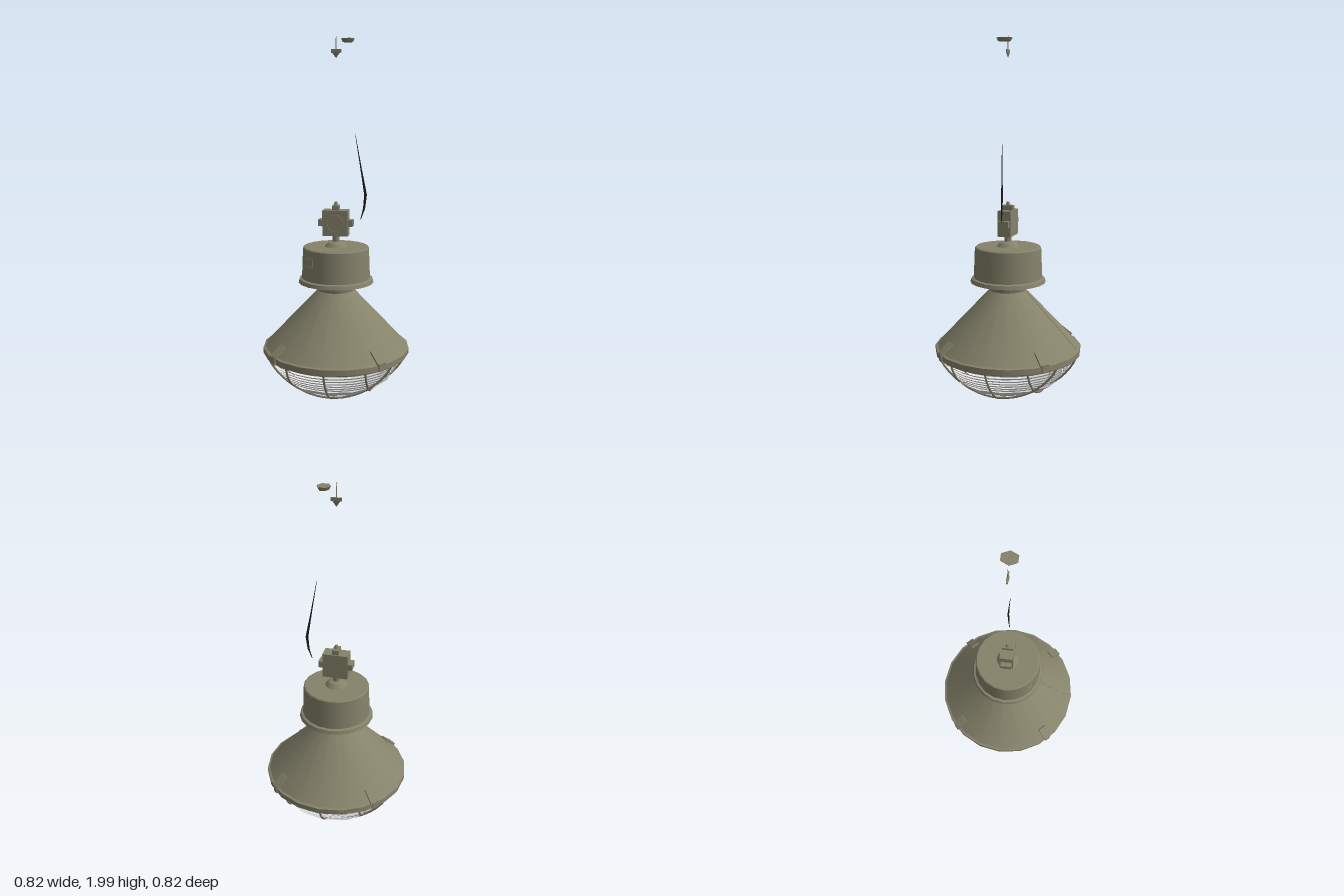
import * as THREE from 'three';

const mat = (name, color, side = THREE.FrontSide) => {
  const m = new THREE.MeshStandardMaterial({ color, side });
  m.name = name;
  return m;
};

export function createModel() {
  const lamp = new THREE.Group();
  lamp.name = 'pendantLamp';
  const olive = mat('olivePaint', 0x86836b);
  const glass = mat('paleGlass', 0xdededf, THREE.DoubleSide);
  const black = mat('blackCable', 0x1c1c1a, THREE.DoubleSide);

  const add = (name, geo, m, x = 0, y = 0, z = 0, parent = lamp) => {
    const mesh = new THREE.Mesh(geo, m);
    mesh.name = name;
    mesh.position.set(x, y, z);
    parent.add(mesh);
    return mesh;
  };
  // Lathe from straight sections, each keeping its own sharp edges
  const turned = (name, pts, m, seg = 20) => {
    const g = new THREE.Group();
    g.name = name;
    for (let i = 0; i < pts.length - 1; i++) {
      const pair = [pts[i], pts[i + 1]].map(p => new THREE.Vector2(...p));
      add(name + 'Section', new THREE.LatheGeometry(pair, seg), m, 0, 0, 0, g);
    }
    lamp.add(g);
  };

  // Shade with its rim band, open underneath
  turned('shade', [[0.37, 0.275], [0.408, 0.275], [0.408, 0.305], [0.395, 0.31], [0.1, 0.625]], olive);
  turned('neck', [[0.1, 0.615], [0.112, 0.69]], olive);
  // Ballast housing with a flange and a small domed cap
  turned('housing', [[0.1, 0.685], [0.175, 0.685], [0.175, 0.67], [0.209, 0.67], [0.203, 0.69],
    [0.19, 0.695], [0.183, 0.862], [0.177, 0.868], [0, 0.868]], olive);
  turned('cap', [[0.062, 0.868], [0.045, 0.888], [0.025, 0.896], [0, 0.896]], olive, 14);

  // Fine raised seams down the shade, front and back
  for (const s of [1, -1]) {
    const seam = add('shadeSeam', new THREE.BoxGeometry(0.002, 0.42, 0.003), olive, 0, 0.468, s * 0.2475);
    seam.rotation.x = -s * Math.atan2(0.295, 0.315);
  }
  // Hatch outline on the housing front
  const hatch = new THREE.Group();
  hatch.name = 'hatchOutline';
  hatch.position.set(-0.12, 0.8, 0.146);
  hatch.rotation.y = -0.69;
  for (const s of [1, -1]) {
    add('hatchEdge', new THREE.BoxGeometry(0.05, 0.002, 0.003), olive, 0, s * 0.023, 0, hatch);
  }
  add('hatchEdge', new THREE.BoxGeometry(0.002, 0.046, 0.003), olive, 0.025, 0, 0, hatch);
  lamp.add(hatch);

  // Junction box with cable glands and round front cover
  add('junctionBox', new THREE.BoxGeometry(0.14, 0.14, 0.074), olive, 0, 1.0, 0);
  add('lowerStem', new THREE.CylinderGeometry(0.02, 0.02, 0.04, 10), olive, 0, 0.915, 0);
  add('topGland', new THREE.BoxGeometry(0.036, 0.026, 0.06), olive, 0, 1.083, 0);
  add('topLug', new THREE.CylinderGeometry(0.008, 0.012, 0.02, 8), olive, 0, 1.105, 0);
  for (const s of [1, -1]) {
    add('sideGland', new THREE.BoxGeometry(0.025, 0.036, 0.06), olive, s * 0.082, 1.0, 0);
  }
  add('coverRing', new THREE.TorusGeometry(0.045, 0.002, 4, 16), olive, 0, 1.0, 0.037);

  // Shade clips
  for (let i = 0; i < 4; i++) {
    const pivot = new THREE.Group();
    pivot.name = 'rimClip';
    pivot.rotation.y = Math.PI / 4 + i * Math.PI / 2;
    add('clipPlate', new THREE.BoxGeometry(0.05, 0.01, 0.085), olive, 0, 0.338, 0.376, pivot).rotation.x = 0.7;
    add('clipHook', new THREE.BoxGeometry(0.03, 0.04, 0.01), olive, 0, 0.292, 0.406, pivot);
    lamp.add(pivot);
  }

  // Ribbed glass and its lens
  for (let i = 0; i < 8; i++) {
    const y = 0.268 - i * 0.017;
    const r = 0.365 - 0.0012 * i * i;
    const rib = new THREE.LatheGeometry(
      [new THREE.Vector2(r - 0.01, y - 0.005), new THREE.Vector2(r, y + 0.005)], 28);
    add('glassRib', rib, glass);
  }
  turned('glassLens', [[0, 0.03], [0.15, 0.06], [0.25, 0.1], [0.31, 0.142]], glass, 14);

  // Wire guard: three wires each way over a bowl
  const bowl = r => 0.28 - 0.265 * Math.pow(Math.max(0, 1 - (r / 0.395) ** 2), 0.75);
  for (const across of [false, true]) {
    for (const off of [-0.21, 0, 0.21]) {
      const half = Math.sqrt(0.395 ** 2 - off ** 2);
      const pts = [];
      for (let i = 0; i <= 12; i++) {
        const t = -half * Math.cos(Math.PI * i / 12);
        const y = bowl(Math.hypot(off, t));
        pts.push(across ? new THREE.Vector3(t, y, off) : new THREE.Vector3(off, y, t));
      }
      add('guardWire', new THREE.TubeGeometry(new THREE.CatmullRomCurve3(pts), 24, 0.006, 5), olive);
    }
  }
  const ring = add('guardRing', new THREE.TorusGeometry(0.4, 0.008, 5, 20), olive, 0, 0.277, 0);
  ring.rotation.x = Math.PI / 2;

  // Loose cable sliver, widest at its bend
  const path = [[0.105, 1.48, 0, 0.001], [0.135, 1.3, -0.01, 0.004], [0.16, 1.155, -0.017, 0.008],
    [0.153, 1.08, -0.014, 0.006], [0.135, 1.02, -0.006, 0.002]];
  const cable = new THREE.CylinderGeometry(1, 1, 1, 5, path.length - 1, true);
  const p = cable.attributes.position;
  for (let i = 0; i < p.count; i++) {
    const [x, y, z, r] = path[Math.round((0.5 - p.getY(i)) * (path.length - 1))];
    p.setXYZ(i, x + p.getX(i) * r, y, z + p.getZ(i) * r * 0.6);
  }
  cable.computeVertexNormals();
  add('cable', cable, black);

  // Ceiling hook and hexagonal plate
  add('hookPin', new THREE.CylinderGeometry(0.001, 0.004, 0.09, 5), olive, 0, 1.955, 0);
  const tip = add('hookTip', new THREE.ConeGeometry(0.024, 0.03, 6), olive, 0, 1.895, 0);
  tip.rotation.x = Math.PI;
  tip.scale.z = 0.3;
  add('hookBar', new THREE.BoxGeometry(0.055, 0.018, 0.006), olive, 0, 1.917, 0);
  const plate = new THREE.CylinderGeometry(0.036, 0.028, 0.018, 6);
  plate.rotateY(Math.PI / 6);
  add('ceilingPlate', plate, olive, 0.063, 1.971, 0).scale.z = 1.25;

  return lamp;
}
